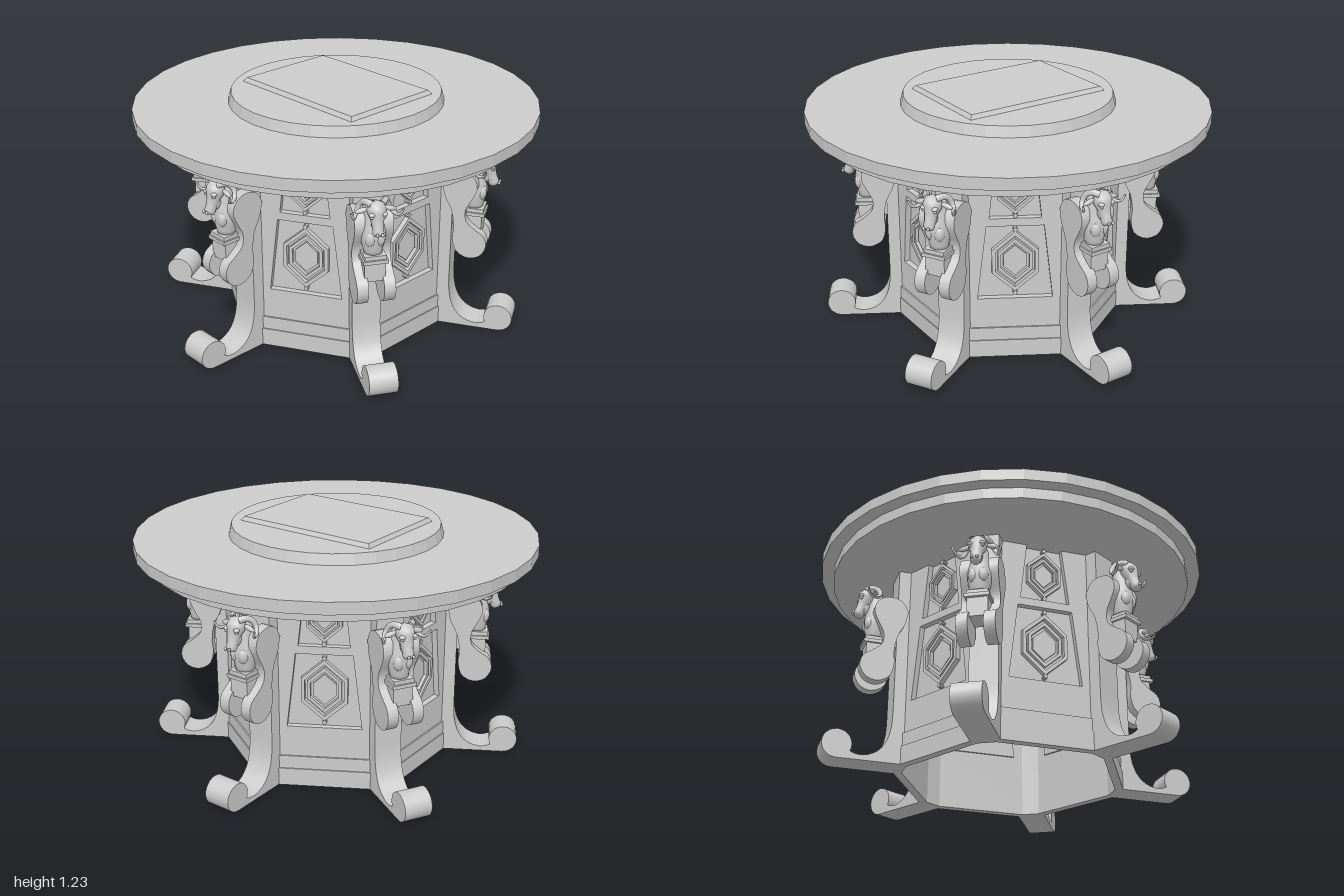
import * as THREE from 'three';
import { toCreasedNormals } from 'three/addons/utils/BufferGeometryUtils.js';

const flat = new THREE.MeshStandardMaterial({ color: 0xcccccc, flatShading: true, side: THREE.DoubleSide });
const smooth = new THREE.MeshStandardMaterial({ color: 0xcccccc, side: THREE.DoubleSide });

function add(parent, name, geo, mat = flat, x = 0, y = 0, z = 0) {
  const m = new THREE.Mesh(geo, mat);
  m.name = name;
  m.position.set(x, y, z);
  parent.add(m);
  return m;
}

const vec = (pts) => pts.map(([x, y]) => new THREE.Vector2(x, y));
const extrude = (shape, depth) => new THREE.ExtrudeGeometry(shape, { depth, bevelEnabled: false, curveSegments: 10 });

// Box spanning the given limits
function block(parent, name, x0, x1, y0, y1, z0, z1) {
  return add(parent, name, new THREE.BoxGeometry(x1 - x0, y1 - y0, z1 - z0), flat,
    (x0 + x1) / 2, (y0 + y1) / 2, (z0 + z1) / 2);
}

function ellipsoid(parent, name, x, y, z, sx, sy, sz) {
  const m = add(parent, name, new THREE.SphereGeometry(1, 14, 10), smooth, x, y, z);
  m.scale.set(sx, sy, sz);
  return m;
}

// Round top, raised disc and bevelled centre slab
function tableTop() {
  const g = new THREE.Group();
  g.name = 'tableTop';
  const disc = (name, rTop, rBottom, y0, y1) =>
    add(g, name, new THREE.CylinderGeometry(rTop, rBottom, y1 - y0, 32), flat, 0, (y0 + y1) / 2, 0);
  disc('lowerRim', 0.935, 0.935, 1.04, 1.097);
  disc('topBoard', 1, 1, 1.095, 1.153);
  disc('raisedDisc', 0.52, 0.535, 1.15, 1.205);
  const slab = new THREE.BoxGeometry(2, 0.03, 2);
  const p = slab.attributes.position;
  for (let i = 0; i < p.count; i++) {
    const inset = p.getY(i) > 0 ? 0.02 : 0;
    p.setX(i, p.getX(i) * (0.28 - inset));
    p.setZ(i, p.getZ(i) * (0.395 - inset));
  }
  slab.computeVertexNormals();
  add(g, 'centreSlab', slab, flat, 0, 1.21, 0);
  return g;
}

const APOTHEM = 0.52;
const RECESS = 0.03;
const panels = [
  { y0: 0.32, y1: 0.705, w0: 0.182, w1: 0.137, cy: 0.515, hw: 0.112, hh: 0.16 },
  { y0: 0.745, y1: 1.04, w0: 0.124, w1: 0.09, cy: 0.89, hw: 0.085, hh: 0.125 },
];
const trapezoid = (p) => vec([[-p.w0, p.y0], [p.w0, p.y0], [p.w1, p.y1], [-p.w1, p.y1]]);
const hexagon = (cy, w, h) => vec([[0, cy + h], [-w, cy + h * 0.38], [-w, cy - h * 0.38],
  [0, cy - h], [w, cy - h * 0.38], [w, cy + h * 0.38]]);

// One of six walls, with recessed panels and nested hexagon mouldings
function wall() {
  const g = new THREE.Group();
  g.name = 'wall';
  const face = new THREE.Shape(vec([[-0.3, 0], [0.3, 0], [0.3, 1.04], [-0.3, 1.04]]));
  for (const p of panels) face.holes.push(new THREE.Path(trapezoid(p)));
  add(g, 'wallFace', extrude(face, RECESS), flat, 0, 0, APOTHEM - RECESS);
  for (const p of panels) {
    add(g, 'panelBack', extrude(new THREE.Shape(trapezoid(p)), 0.01), flat, 0, 0, APOTHEM - RECESS - 0.01);
    const ring = (name, s, t, depth) => {
      const shape = new THREE.Shape(hexagon(p.cy, p.hw * s, p.hh * s));
      if (t) shape.holes.push(new THREE.Path(hexagon(p.cy, p.hw * (s - t), p.hh * (s - t))));
      add(g, name, extrude(shape, depth), flat, 0, 0, APOTHEM - RECESS);
    };
    ring('outerMoulding', 1, 0.15, 0.026);
    ring('innerMoulding', 0.74, 0.13, 0.022);
    ring('centrePlate', 0.5, 0, 0.012);
    for (const s of [-1, 1]) {
      const bead = add(g, 'bead', new THREE.CylinderGeometry(0.011, 0.011, 0.028, 8), flat,
        0, p.cy + s * (p.hh + 0.008), APOTHEM - RECESS + 0.014);
      bead.rotation.x = Math.PI / 2;
    }
  }
  block(g, 'plinth', -0.3, 0.3, 0, 0.092, APOTHEM - 0.02, APOTHEM + 0.012);
  block(g, 'plinthBand', -0.3, 0.3, 0.09, 0.16, APOTHEM - 0.02, APOTHEM + 0.007);
  return g;
}

// Corner post sweeping out into a rolled foot
function post() {
  const s = new THREE.Shape();
  s.moveTo(0.54, 0);
  s.lineTo(0.88, 0);
  s.absarc(0.88, 0.072, 0.072, -Math.PI / 2, Math.PI * 1.15, false);
  s.quadraticCurveTo(0.79, 0.024, 0.755, 0.026);
  s.bezierCurveTo(0.66, 0.04, 0.62, 0.12, 0.62, 0.26);
  s.lineTo(0.62, 1.04);
  s.lineTo(0.54, 1.04);
  s.closePath();
  return toCreasedNormals(extrude(s, 0.14), 0.6);
}

// S-shaped side plate of the bracket
function scroll() {
  const pts = vec([[0.57, 0.8], [0.6, 0.855], [0.66, 0.872], [0.72, 0.85], [0.742, 0.79], [0.72, 0.73],
    [0.69, 0.67], [0.695, 0.61], [0.74, 0.568], [0.785, 0.535], [0.8, 0.48], [0.77, 0.425],
    [0.71, 0.407], [0.65, 0.44], [0.63, 0.51], [0.635, 0.57], [0.62, 0.66], [0.585, 0.73]]);
  const curve = new THREE.SplineCurve([...pts, pts[0]]);
  return toCreasedNormals(extrude(new THREE.Shape(curve.getPoints(44)), 0.055), 0.6);
}

// Curled horn: a spiral tube tapered toward its tip
function horn(side) {
  const pts = [];
  for (let i = 0; i <= 16; i++) {
    const t = i / 16, a = 1.0 + t * 5.4, r = 0.042 - 0.012 * t;
    pts.push(new THREE.Vector3(0.752 + r * Math.cos(a), 0.892 + r * Math.sin(a), side * (0.022 + 0.1 * Math.pow(t, 0.75))));
  }
  const curve = new THREE.CatmullRomCurve3(pts);
  const n = 32, sides = 8;
  const geo = new THREE.TubeGeometry(curve, n, 0.018, sides);
  const p = geo.attributes.position, v = new THREE.Vector3();
  for (let i = 0; i < p.count; i++) {
    const t = Math.floor(i / (sides + 1)) / n;
    const c = curve.getPointAt(t);
    v.fromBufferAttribute(p, i).sub(c).multiplyScalar(1 - 0.75 * t).add(c);
    p.setXYZ(i, v.x, v.y, v.z);
  }
  geo.computeVertexNormals();
  return geo;
}

// Ram bust on its small pedestal
function bust() {
  const g = new THREE.Group();
  g.name = 'ramBust';
  block(g, 'pedestal', 0.65, 0.765, 0.53, 0.635, -0.05, 0.05);
  block(g, 'pedestalCap', 0.64, 0.78, 0.625, 0.643, -0.06, 0.06);
  block(g, 'bustFoot', 0.65, 0.772, 0.643, 0.663, -0.052, 0.052);
  const torso = vec([[0, 0.655], [0.044, 0.66], [0.046, 0.68], [0.056, 0.72], [0.06, 0.76],
    [0.053, 0.8], [0.043, 0.84], [0.042, 0.88], [0.03, 0.91], [0, 0.92]]);
  add(g, 'torso', new THREE.LatheGeometry(torso, 16), smooth, 0.717, 0, 0);
  const skull = vec([[0, 0], [0.02, 0.003], [0.027, 0.018], [0.026, 0.045], [0.032, 0.08],
    [0.044, 0.108], [0.045, 0.13], [0.034, 0.155], [0, 0.168]]);
  const head = add(g, 'head', new THREE.LatheGeometry(skull, 14), smooth, 0.812, 0.782, 0);
  head.rotation.z = 0.37;
  ellipsoid(g, 'jaw', 0.775, 0.835, 0, 0.03, 0.04, 0.026);
  for (const s of [-1, 1]) {
    add(g, 'horn', horn(s), smooth);
    ellipsoid(g, 'chestMuscle', 0.752, 0.745, s * 0.022, 0.026, 0.04, 0.026);
    ellipsoid(g, 'brow', 0.8, 0.888, s * 0.029, 0.014, 0.01, 0.015);
    ellipsoid(g, 'eye', 0.803, 0.876, s * 0.031, 0.009, 0.008, 0.008);
    ellipsoid(g, 'nostril', 0.835, 0.8, s * 0.012, 0.007, 0.009, 0.007);
    ellipsoid(g, 'ear', 0.755, 0.893, s * 0.066, 0.011, 0.013, 0.032).rotation.x = s * 0.25;
  }
  return g;
}

// Post, foot, scroll bracket and bust, facing +x
function leg() {
  const g = new THREE.Group();
  g.name = 'leg';
  add(g, 'postAndFoot', post(), smooth, 0, 0, -0.07);
  for (const z of [-0.092, 0.037]) add(g, 'scrollBracket', scroll(), smooth, 0, 0, z);
  block(g, 'bracketCore', 0.6, 0.7, 0.56, 0.84, -0.04, 0.04);
  g.add(bust());
  return g;
}

export function createModel() {
  const model = new THREE.Group();
  model.name = 'roundTable';
  model.add(tableTop());
  const wallPart = wall(), legPart = leg();
  for (let k = 0; k < 6; k++) {
    for (const part of [wallPart, legPart]) {
      const copy = part.clone();
      copy.rotation.y = (k * Math.PI) / 3;
      model.add(copy);
    }
  }
  return model;
}
